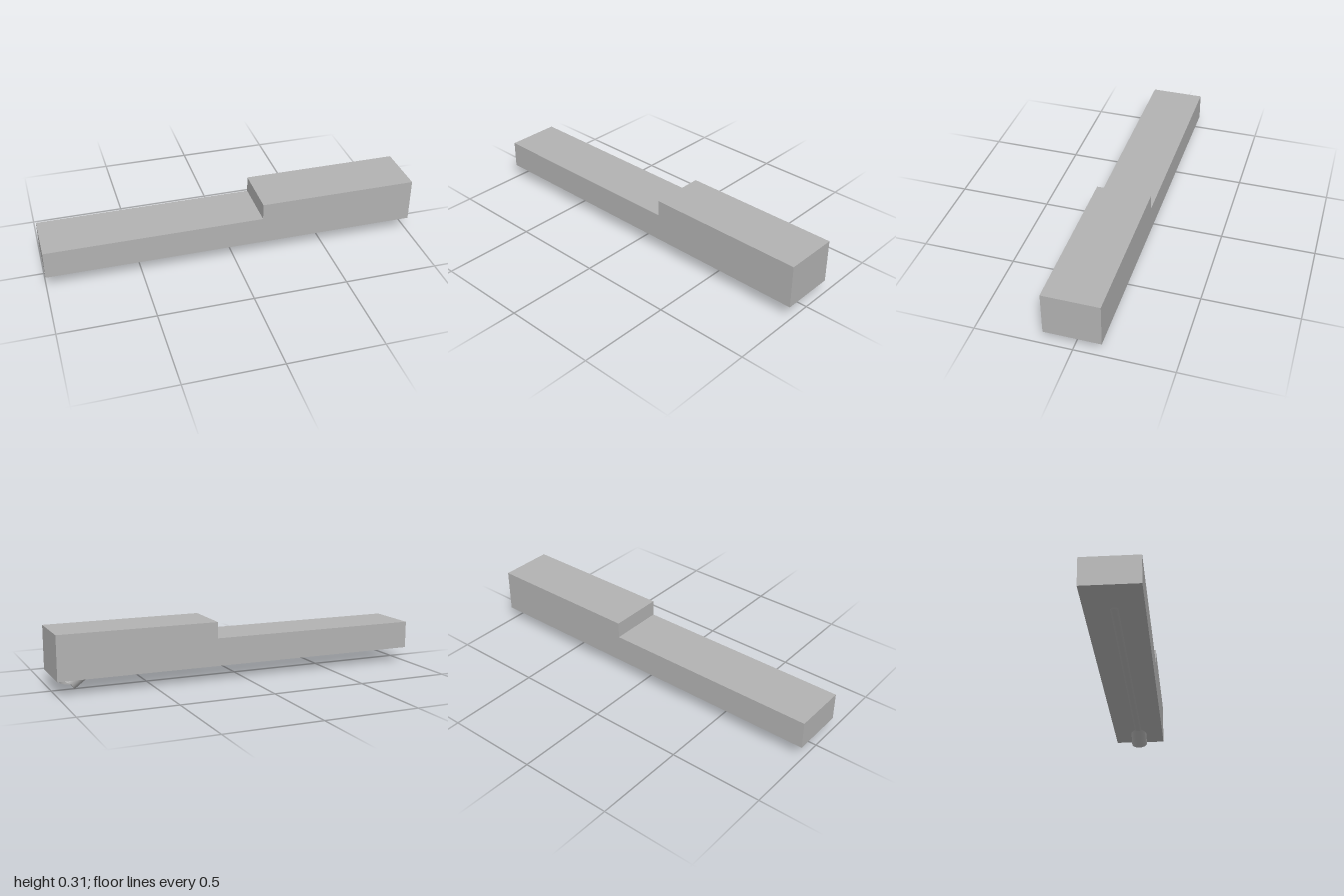
import * as THREE from 'three';

// Surface joining two open point rows of equal length
function strip(rowA, rowB) {
  const n = rowA.length, index = [];
  for (let i = 0; i < n - 1; i++) index.push(i, n + i, i + 1, i + 1, n + i, n + i + 1);
  const g = new THREE.BufferGeometry().setFromPoints([...rowA, ...rowB]);
  g.setIndex(index);
  g.computeVertexNormals();
  return g;
}

export function createModel() {
  const grey = new THREE.MeshStandardMaterial({ color: 0xb2b2b2, side: THREE.DoubleSide });
  grey.name = 'grey';
  const model = new THREE.Group();
  const add = (name, geometry, parent = model) => {
    const mesh = new THREE.Mesh(geometry, grey);
    mesh.name = name;
    parent.add(mesh);
    return mesh;
  };

  // Stepped bar
  const bottom = 0.08, half = 0.145;
  const profile = new THREE.Shape([
    [-1, bottom], [1, bottom], [1, 0.313], [0.155, 0.313], [0.155, 0.227], [-1, 0.227],
  ].map(([x, y]) => new THREE.Vector2(x, y)));
  const body = new THREE.ExtrudeGeometry(profile, { depth: 2 * half, bevelEnabled: false });
  add('steppedBody', body.translate(0, 0, -half));

  // Channel that barely stands out below the bar
  const rodRadius = 0.035, rodY = bottom + rodRadius - 0.006;
  const rod = new THREE.CylinderGeometry(rodRadius, rodRadius, 1.62, 48, 1, true);
  add('channel', rod.rotateZ(Math.PI / 2).translate(0.04, rodY, 0));
  add('channelEnd', new THREE.SphereGeometry(rodRadius, 32, 24).translate(-0.77, rodY, 0));

  // Slanted outlet: tilted tube, its upper half mitred into a short vertical elbow
  const outlet = new THREE.Group();
  outlet.name = 'outlet';
  model.add(outlet);
  const r = 0.046, cx = 0.91, cy = 0.038;
  // Point at angle a on the tilted tube, t along its axis
  const tube = (a, t) => new THREE.Vector3(
    cx + 0.6 * r * Math.cos(a) + 0.8 * t,
    cy + 0.8 * r * Math.cos(a) - 0.6 * t,
    r * Math.sin(a));
  const arc = (from, to) => Array.from({ length: 33 }, (_, i) => from + (to - from) * i / 32);
  const upper = arc(-Math.PI / 2, Math.PI / 2);
  const lower = arc(Math.PI / 2, Math.PI * 1.5);
  const mitre = upper.map(a => tube(a, 0.5 * r * Math.cos(a)));
  const rim = upper.map(a => new THREE.Vector3(cx + r * Math.cos(a), cy, r * Math.sin(a)));
  const lowerEnd = lower.map(a => tube(a, 0));
  const axisLine = row => row.map(p => new THREE.Vector3(cx, cy, p.z));
  add('outletTop', strip(upper.map(a => tube(a, -0.15)), mitre), outlet);
  add('outletBottom', strip(lower.map(a => tube(a, -0.15)), lowerEnd), outlet);
  add('outletElbow', strip(mitre, rim), outlet);
  add('outletFlatEnd', strip(rim, axisLine(rim)), outlet);
  add('outletSlantedEnd', strip(lowerEnd, axisLine(lowerEnd)), outlet);

  return model;
}
